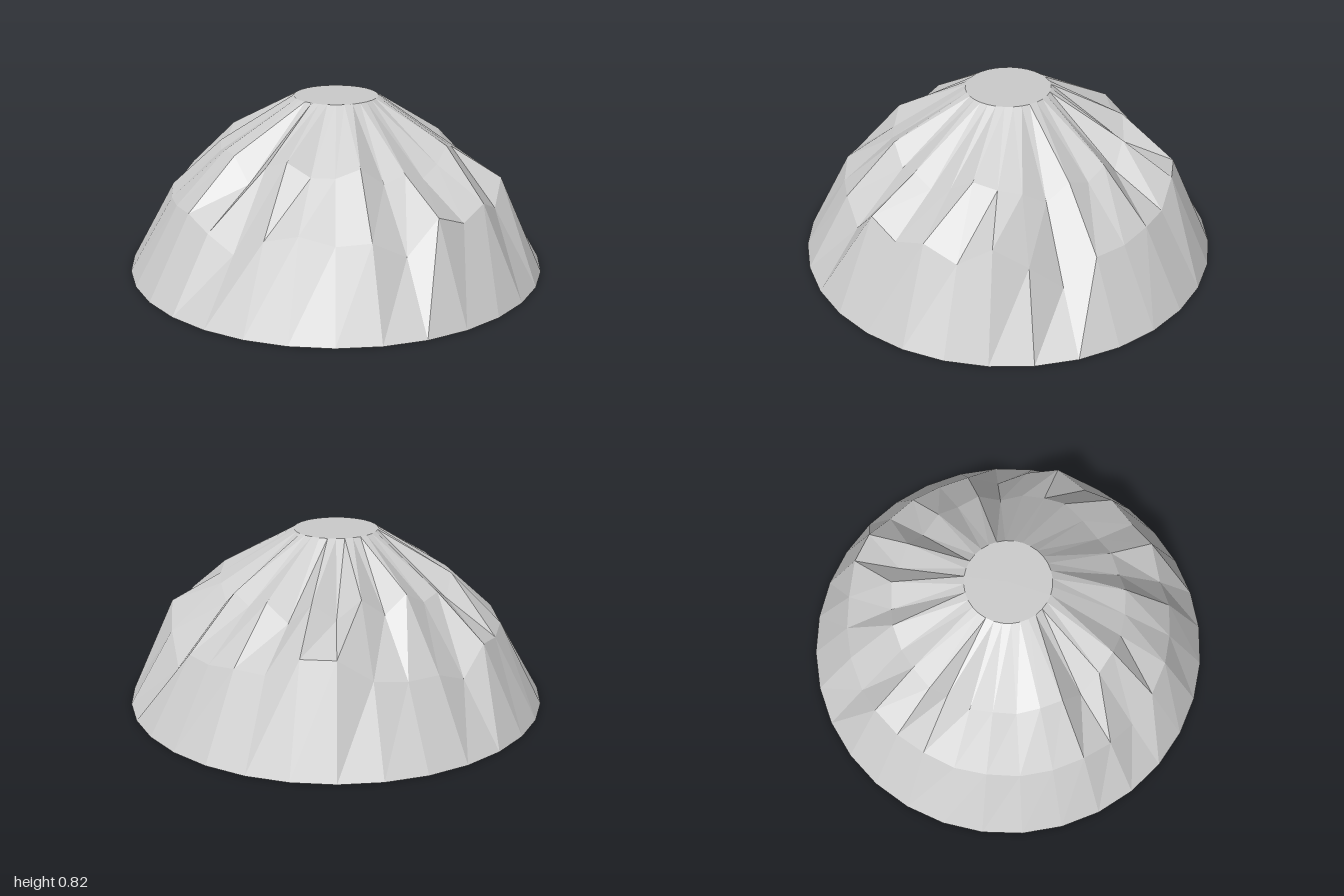
import * as THREE from 'three';

const SIDES = 32;
const TOP = 0.82;
const RADII = [0.2, 0.55, 0.79, 1]; // plateau, upper ring, lower ring, base

// Ring heights, counted from the front (+z) round towards +x
const UPPER = [
  0.54, 0.57, 0.53, 0.57, 0.63, 0.60, 0.58, 0.52, 0.60, 0.56, 0.60, 0.52, 0.62, 0.55, 0.64, 0.56,
  0.64, 0.58, 0.60, 0.54, 0.63, 0.56, 0.60, 0.58, 0.61, 0.61, 0.50, 0.60, 0.64, 0.58, 0.58, 0.62,
];
const LOWER = [
  0.29, 0.44, 0.38, 0.43, 0.36, 0.46, 0.36, 0.23, 0.35, 0.35, 0.37, 0.37, 0.46, 0.46, 0.36, 0.34,
  0.34, 0.28, 0.40, 0.38, 0.40, 0.36, 0.38, 0.36, 0.37, 0.38, 0.33, 0.27, 0.36, 0.40, 0.36, 0.37,
];

export function createModel() {
  const group = new THREE.Group();
  group.name = 'rockyMound';

  // Capped cylinder of three bands, reshaped ring by ring into a rugged hill
  let geometry = new THREE.CylinderGeometry(RADII[0], RADII[3], TOP, SIDES, 3);
  geometry.translate(0, TOP / 2, 0);
  const pos = geometry.attributes.position;
  const columns = SIDES + 1;
  [UPPER, LOWER].forEach((heights, i) => {
    const ring = i + 1;
    for (let k = 0; k < columns; k++) {
      const angle = (k / SIDES) * Math.PI * 2;
      const r = RADII[ring];
      pos.setXYZ(ring * columns + k, r * Math.sin(angle), heights[k % SIDES], r * Math.cos(angle));
    }
  });

  // Separate facets for hard, faceted shading
  geometry = geometry.toNonIndexed();
  geometry.computeVertexNormals();
  const mound = new THREE.Mesh(
    geometry,
    new THREE.MeshStandardMaterial({ color: 0xcccccc, flatShading: true })
  );
  mound.name = 'mound';
  group.add(mound);
  return group;
}
